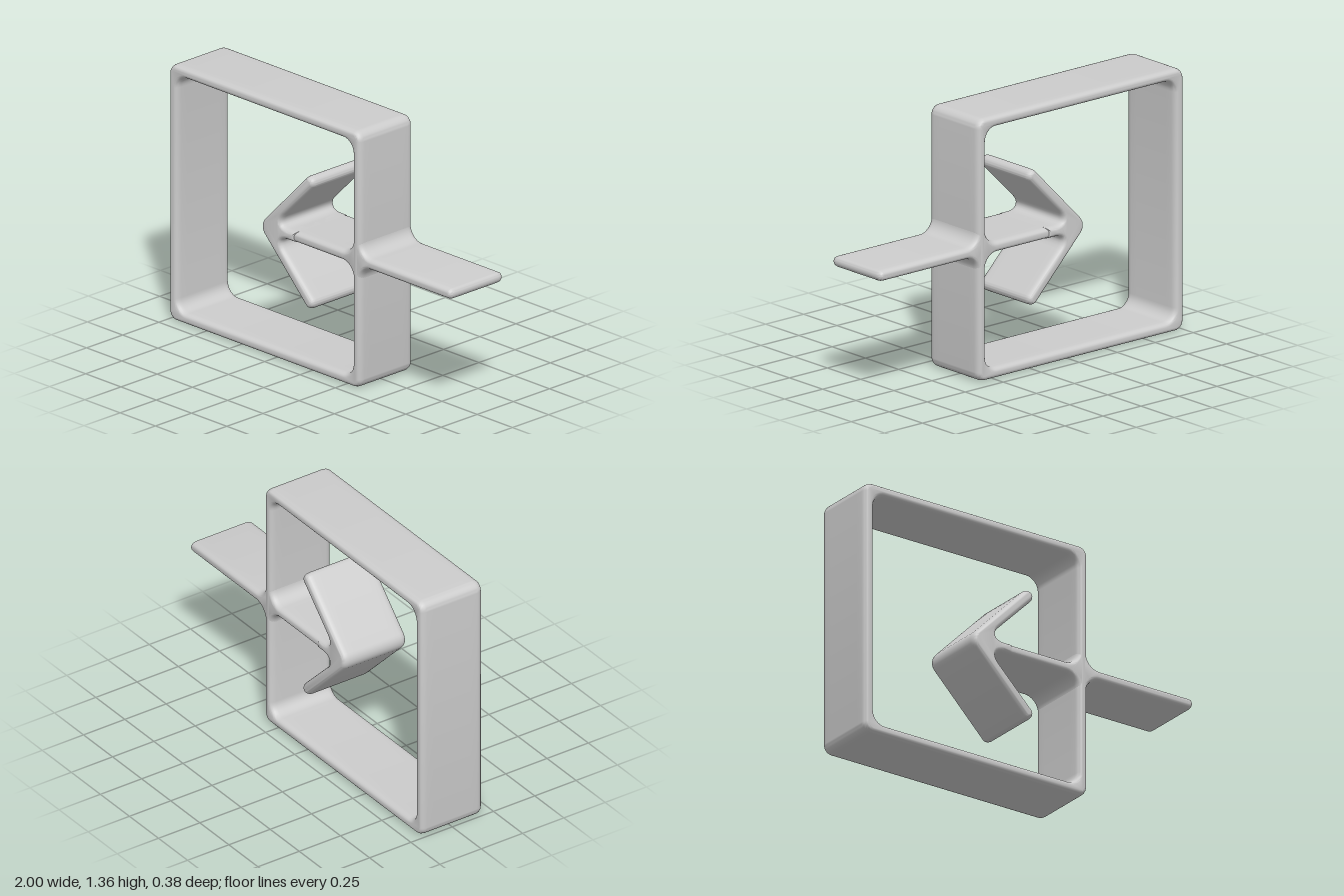
import * as THREE from 'three';
import { toCreasedNormals } from 'three/addons/utils/BufferGeometryUtils.js';

const MID = 0.68; // height of the shaft

// Trace a closed polygon of [x, y, cornerRadius] with rounded corners
function trace(path, pts) {
  const n = pts.length;
  const v = pts.map(([x, y]) => new THREE.Vector2(x, y));
  for (let i = 0; i < n; i++) {
    const c = v[i], r = pts[i][2] || 0;
    const along = (to, d) => to.clone().sub(c).setLength(d).add(c);
    const prev = v[(i + n - 1) % n], next = v[(i + 1) % n];
    const a = r ? along(prev, r) : c, b = r ? along(next, r) : c;
    if (i === 0) path.moveTo(a.x, a.y);
    else path.lineTo(a.x, a.y);
    if (r) {
      const p = along(prev, r * 0.45), q = along(next, r * 0.45);
      path.bezierCurveTo(p.x, p.y, q.x, q.y, b.x, b.y);
    }
  }
  path.closePath();
  return path;
}

const box = (x0, y0, x1, y1, r) => [[x0, y0, r], [x1, y0, r], [x1, y1, r], [x0, y1, r]];

// Lower half of an outline, followed by its mirror image about the shaft
const mirrored = (half) => [
  ...half,
  ...half.slice().reverse().map(([x, y, r]) => [x, 2 * MID - y, r]),
];

// Soft-edged slab, centred on z = 0
function slab(name, shape, halfDepth, material) {
  const bevel = 0.035, size = 0.021;
  const geometry = new THREE.ExtrudeGeometry(shape, {
    depth: 2 * (halfDepth - bevel), steps: 8, curveSegments: 8,
    bevelThickness: bevel, bevelSize: size, bevelOffset: -size, bevelSegments: 5,
  });
  geometry.translate(0, 0, bevel - halfDepth);
  const mesh = new THREE.Mesh(toCreasedNormals(geometry, 0.6), material);
  mesh.name = name;
  return mesh;
}

export function createModel() {
  const group = new THREE.Group();
  group.name = 'enterArrowIcon';
  const grey = new THREE.MeshStandardMaterial({ color: 0xcccccc });
  grey.name = 'lightGrey';

  // Square frame
  const frame = trace(new THREE.Shape(), box(-1, 0, 0.355, 1.36, 0.05));
  frame.holes.push(trace(new THREE.Path(), box(-0.942, 0.056, 0.3, 1.304, 0.065)));
  group.add(slab('frame', frame, 0.185, grey));

  // Shaft, with fillets where it crosses the frame
  const low = MID - 0.028;
  const shaft = trace(new THREE.Shape(), mirrored([
    [-0.28, low], [0.301, low, 0.075], [0.301, 0.54], [0.354, 0.54],
    [0.354, low, 0.075], [1, low, 0.027],
  ]));
  group.add(slab('shaft', shaft, 0.184, grey));

  // Arrowhead: two rounded arms, filleted into a short length of shaft
  const arms = mirrored([
    [-0.007, 0.317, 0.031], [0.038, 0.362, 0.031], [-0.252, low, 0.1], [-0.1, low],
  ]);
  const arrowhead = trace(new THREE.Shape(), [[-0.365, MID, 0.06], ...arms]);
  group.add(slab('arrowhead', arrowhead, 0.19, grey));

  return group;
}
